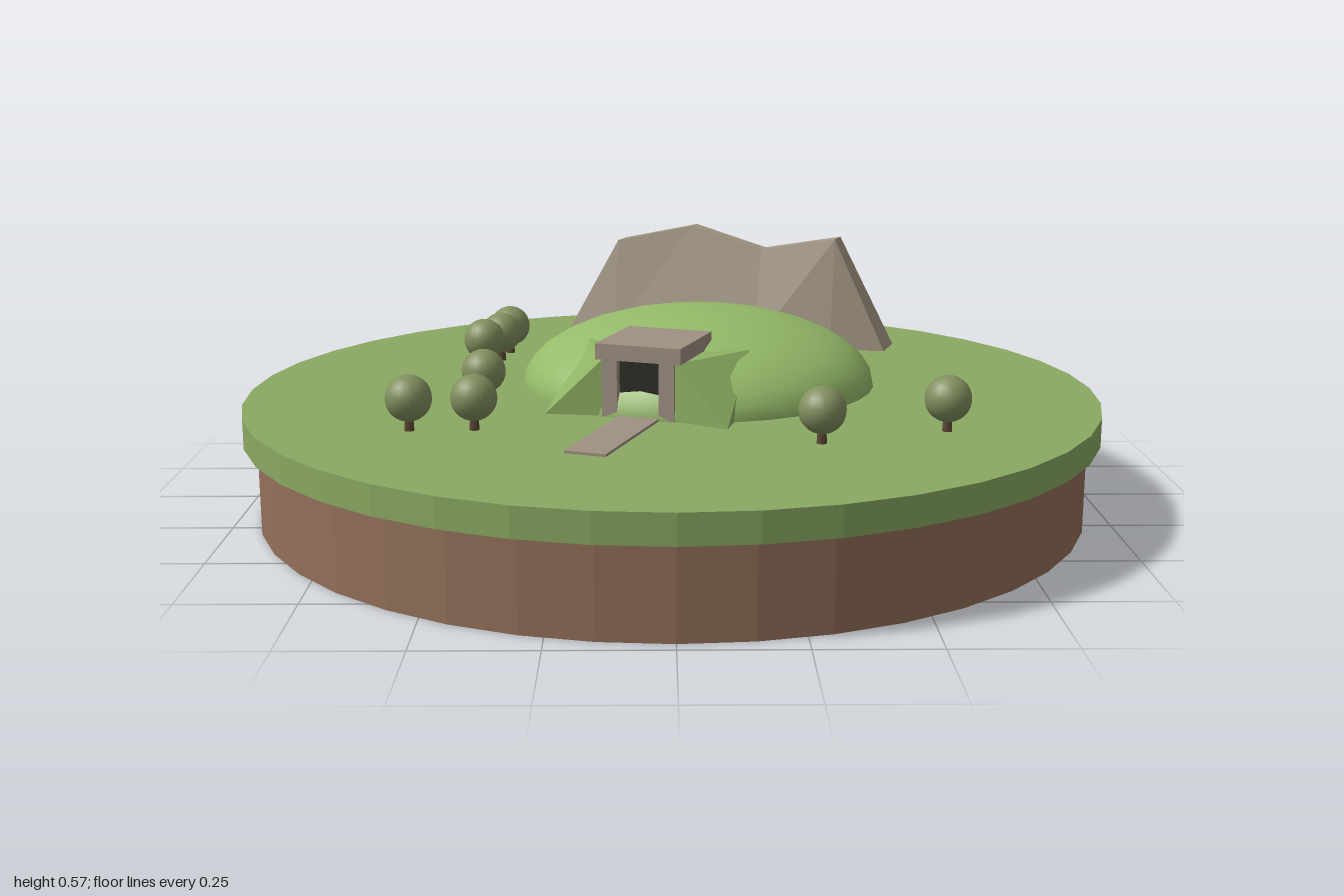
import * as THREE from 'three';
import { ConvexGeometry } from 'three/addons/geometries/ConvexGeometry.js';

const GROUND = 0.265;
const TURN = -0.35; // the entrance and the cliff share one slanted direction

function material(name, color, flatShading = false) {
  const m = new THREE.MeshStandardMaterial({ color, flatShading });
  m.name = name;
  return m;
}

function add(parent, name, geometry, mat, x = 0, y = 0, z = 0) {
  const mesh = new THREE.Mesh(geometry, mat);
  mesh.name = name;
  mesh.position.set(x, y, z);
  parent.add(mesh);
  return mesh;
}

// Skin a row of equal-length rings running along +x, with hard facets
function loft(rings) {
  const pos = [];
  for (let i = 0; i < rings.length - 1; i++) {
    const a = rings[i], b = rings[i + 1];
    for (let j = 0; j < a.length; j++) {
      const k = (j + 1) % a.length;
      pos.push(...a[j], ...b[j], ...b[k], ...a[j], ...b[k], ...a[k]);
    }
  }
  const g = new THREE.BufferGeometry();
  g.setAttribute('position', new THREE.Float32BufferAttribute(pos, 3));
  g.computeVertexNormals();
  return g;
}

export function createModel() {
  const model = new THREE.Group();
  model.name = 'moundIsland';

  const grass = material('grass', 0x8aa962, true);
  const moundGreen = material('moundGreen', 0x95ba69);
  const bermGreen = material('bermGreen', 0x8fb264, true);
  const earth = material('earth', 0x94705a, true);
  const rock = material('rock', 0xa39683, true);
  const stone = material('stone', 0x9f9182);
  const dark = material('doorDark', 0x2d2b23);
  const leaf = material('leaf', 0x81905f);
  const bark = material('bark', 0x5c4632);

  // Round base: earth below, wider turf on top
  add(model, 'earthBase', new THREE.CylinderGeometry(0.97, 0.97, 0.2, 40), earth, 0, 0.1, 0);
  add(model, 'turf', new THREE.CylinderGeometry(1, 1, GROUND - 0.2, 40), grass, 0, (GROUND + 0.2) / 2, 0);

  // Mound with its entrance, door facing local +z
  const barrow = new THREE.Group();
  barrow.name = 'barrow';
  barrow.position.set(0.065, GROUND, -0.09);
  barrow.rotation.y = TURN;
  model.add(barrow);

  const dome = new THREE.SphereGeometry(1, 36, 9, 0, Math.PI * 2, 0, Math.PI / 2);
  dome.scale(0.425, 0.18, 0.425);
  add(barrow, 'mound', dome, moundGreen);

  for (const s of [-1, 1]) {
    add(barrow, 'doorJamb', new THREE.BoxGeometry(0.036, 0.132, 0.18), stone, s * 0.067, 0.066, 0.328);
    // Earth bank running from the door down to the ground
    const bank = [
      [0.085, 0.13, 0.41], [0.215, 0, 0.437], [0.196, 0.132, 0.216],
      [0.085, 0.132, 0.2], [0.085, 0, 0.41], [0.196, 0, 0.216], [0.085, 0, 0.2],
    ].map(([x, y, z]) => new THREE.Vector3(s * x, y, z));
    add(barrow, 'sideBank', new ConvexGeometry(bank), bermGreen);
  }
  add(barrow, 'doorway', new THREE.BoxGeometry(0.1, 0.132, 0.15), dark, 0, 0.066, 0.325);
  add(barrow, 'roofSlab', new THREE.BoxGeometry(0.2, 0.036, 0.215), stone, 0.004, 0.15, 0.322);
  add(barrow, 'path', new THREE.BoxGeometry(0.092, 0.006, 0.33), stone, 0.004, 0.003, 0.57);

  // Cliff: [x, height, base front, top front, top back, base back]
  const sections = [
    [-0.45, 0, 0.056, 0.056, 0, 0],
    [-0.31, 0.257, 0.075, 0.03, -0.03, -0.09],
    [-0.10, 0.304, 0.08, 0.018, -0.028, -0.095],
    [0.10, 0.25, 0.08, 0.025, -0.02, -0.095],
    [0.31, 0.29, 0.08, 0.05, -0.01, -0.085],
    [0.45, 0, 0.054, 0.054, -0.052, -0.052],
  ];
  const cliff = loft(sections.map(([x, h, bf, tf, tb, bb]) =>
    [[x, 0, bf], [x, h, tf], [x, h, tb], [x, 0, bb]]));
  add(model, 'cliff', cliff, rock, 0.16, GROUND, -0.64).rotation.y = TURN;

  // Small round trees
  const crown = new THREE.SphereGeometry(0.051, 20, 14);
  const trunk = new THREE.CylinderGeometry(0.008, 0.011, 0.05, 8);
  const spots = [
    [-0.42, -0.43], [-0.435, -0.335], [-0.47, -0.25], [-0.435, 0.125],
    [-0.57, 0.395], [-0.43, 0.39], [0.31, 0.51], [0.59, 0.41],
  ];
  for (const [x, z] of spots) {
    const tree = new THREE.Group();
    tree.name = 'tree';
    tree.position.set(x, GROUND, z);
    add(tree, 'trunk', trunk, bark, 0, 0.025, 0);
    add(tree, 'crown', crown, leaf, 0, 0.072, 0);
    model.add(tree);
  }

  return model;
}
